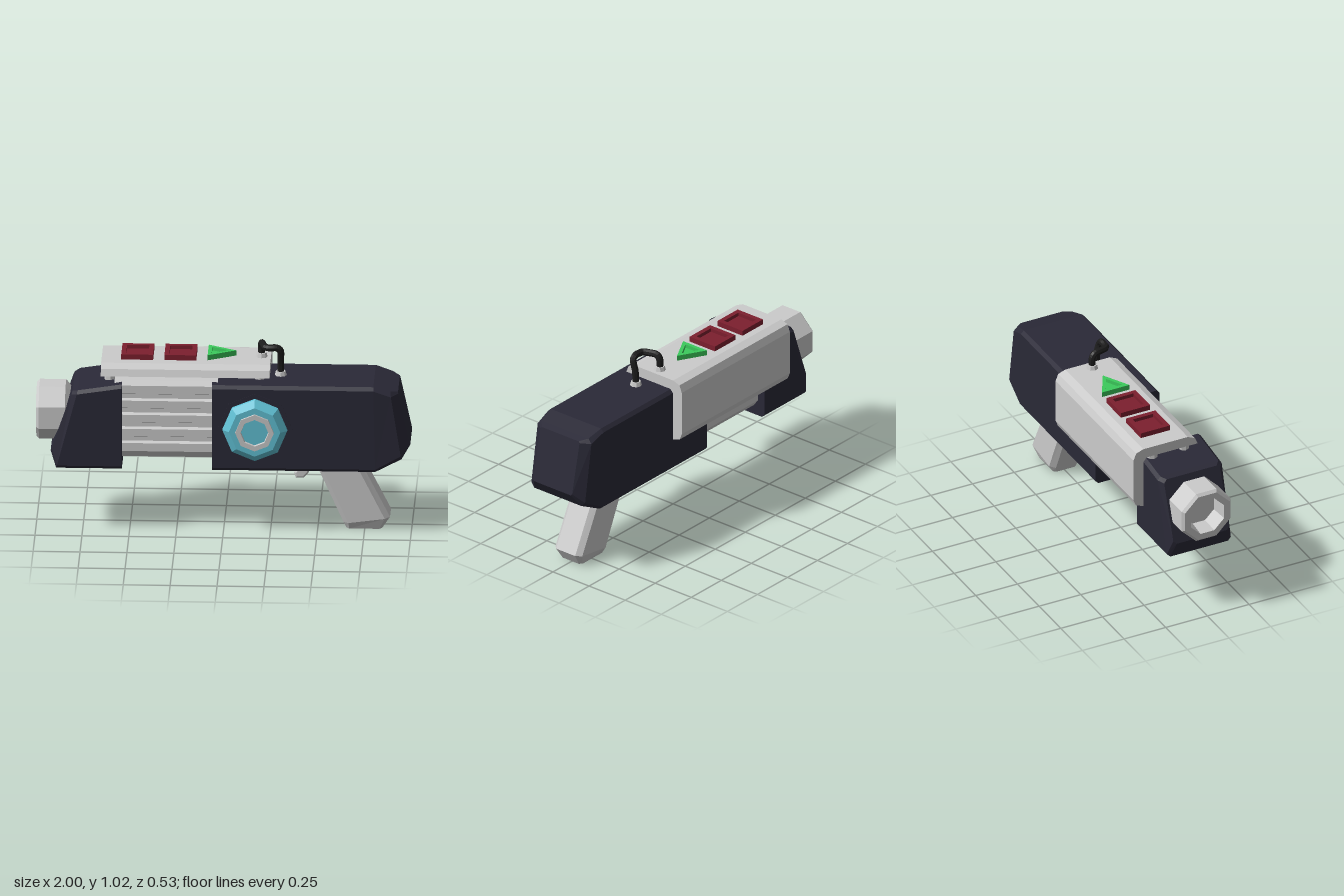
import * as THREE from 'three';

const mat = (color) => new THREE.MeshStandardMaterial({ color, flatShading: true });
const GREY = mat(0xcccccc), DARK = mat(0x2a2937), BLUE = mat(0x62c4d8);
const RED = mat(0x7d1f2e), GREEN = mat(0x3ccb5c), BLACK = mat(0x1c1c1c);
const CZ = 0.008; // z of the body's mid plane

// Closed solid through rings of equal point count, faces turned outwards
function loft(rings) {
  const tris = [], n = rings[0].length;
  const centre = (r) => r.reduce((s, p) => s.add(p), new THREE.Vector3()).divideScalar(n);
  const first = rings[0], last = rings[rings.length - 1];
  for (let j = 0; j < n; j++) {
    const k = (j + 1) % n;
    for (let i = 0; i < rings.length - 1; i++) {
      const a = rings[i], b = rings[i + 1];
      tris.push([a[j], a[k], b[k]], [a[j], b[k], b[j]]);
    }
    tris.push([centre(first), first[k], first[j]], [centre(last), last[j], last[k]]);
  }
  const volume = tris.reduce((s, [a, b, c]) => s + a.dot(b.clone().cross(c)), 0);
  if (volume < 0) tris.forEach((t) => t.reverse());
  const geo = new THREE.BufferGeometry().setFromPoints(tris.flat());
  geo.computeVertexNormals();
  return geo;
}

// Rectangle with cut corners, as [a, b] pairs
function cutRect(a0, a1, b0, b1, c) {
  return [[a0 + c, b0], [a1 - c, b0], [a1, b0 + c], [a1, b1 - c],
    [a1 - c, b1], [a0 + c, b1], [a0, b1 - c], [a0, b0 + c]];
}

// Slanted section of a body block: bottom (xb, yb), top (xt, yt), half width hw
function blockRing([xb, yb, xt, yt, hw, c]) {
  return cutRect(CZ - hw, CZ + hw, yb, yt, c).map(([z, y]) =>
    new THREE.Vector3(xb + (xt - xb) * (y - yb) / (yt - yb), y, z));
}

// Slanted section of the grip: front (x0, y0), back (x1, y1)
function gripRing([x0, y0, x1, y1, hw, c]) {
  return cutRect(x0, x1, CZ - hw, CZ + hw, c).map(([x, z]) =>
    new THREE.Vector3(x, y0 + (y1 - y0) * (x - x0) / (x1 - x0), z));
}

const shapeOf = (pts) => new THREE.Shape(pts.map(([x, y]) => new THREE.Vector2(x, y)));

// Extrude a [z, y] profile from x0 to x1
function extrudeX(profile, x0, x1) {
  return new THREE.ExtrudeGeometry(shapeOf(profile.map(([z, y]) => [-z, y])),
    { depth: x1 - x0, bevelEnabled: false }).rotateY(Math.PI / 2).translate(x0, 0, 0);
}

export function createModel() {
  const model = new THREE.Group();
  const add = (name, geo, material, parent = model) => {
    const mesh = new THREE.Mesh(geo, material);
    mesh.name = name;
    parent.add(mesh);
    return mesh;
  };

  // Dark housings at both ends
  add('rearHousing', loft([
    [-0.06, 0.36, -0.06, 0.84, 0.192, 0.018],
    [0.81, 0.36, 0.8, 0.84, 0.192, 0.018],
    [0.95, 0.43, 0.89, 0.812, 0.186, 0.024],
    [0.995, 0.5, 0.93, 0.8, 0.135, 0.008],
  ].map(blockRing)), DARK);
  add('frontHousing', loft([
    [-0.54, 0.36, -0.54, 0.837, 0.192, 0.018],
    [-0.89, 0.36, -0.775, 0.8, 0.192, 0.018],
    [-0.92, 0.45, -0.803, 0.79, 0.168, 0.018],
  ].map(blockRing)), DARK);

  // Ribbed core between the housings
  const side = [[0.115, 0.41], [0.147, 0.45]];
  for (let i = 0; i < 4; i++) {
    const y = 0.495 + i * 0.08;
    side.push([0.147, y], [0.128, y + 0.008], [0.128, y + 0.032], [0.147, y + 0.04]);
  }
  side.push([0.147, 0.82], [0.125, 0.845]);
  const core = [...side.map(([z, y]) => [CZ + z, y]),
    ...side.slice().reverse().map(([z, y]) => [CZ - z, y])];
  add('ribbedCore', extrudeX(core, -0.58, -0.03), GREY);

  // Eight-sided hollow barrel
  const R = 0.147 / Math.cos(Math.PI / 8);
  const barrel = new THREE.LatheGeometry([[0, 0.1], [0.098, 0.1], [0.108, 0.2],
    [R - 0.015, 0.2], [R, 0.185], [R, 0.045], [R - 0.035, 0.015], [R - 0.035, -0.06], [0, -0.06]]
    .map(([r, h]) => new THREE.Vector2(r, h)).reverse(), 8, Math.PI / 8);
  add('barrel', barrel.rotateZ(Math.PI / 2).translate(-0.8, 0.627, 0), GREY);

  // Cover plate folded over the top and the back
  add('coverPlate', extrudeX([
    [0.12, 0.858], [0.105, 0.895], [0.062, 0.915], [-0.205, 0.915], [-0.248, 0.9],
    [-0.264, 0.86], [-0.264, 0.61], [-0.25, 0.575], [-0.205, 0.558], [-0.205, 0.835],
    [-0.212, 0.85], [-0.185, 0.858],
  ].filter((_, i) => i !== 10), -0.655, 0.245), GREY);
  for (const x of [-0.605, 0.19]) for (const z of [-0.13, 0.06]) {
    add('platePeg', new THREE.CylinderGeometry(0.032, 0.032, 0.08, 8).translate(x, 0.825, z), GREY);
  }

  // Buttons: a raised rim around a sunken panel
  const button = (name, pts, inset, material) => {
    const group = new THREE.Group();
    group.name = name;
    const cx = pts.reduce((s, p) => s + p[0], 0) / pts.length;
    const cy = pts.reduce((s, p) => s + p[1], 0) / pts.length;
    const inner = pts.map(([x, y]) => [cx + (x - cx) * inset, cy + (y - cy) * inset]);
    const rim = shapeOf(pts);
    rim.holes.push(shapeOf(inner));
    const raise = (shape, h) => new THREE.ExtrudeGeometry(shape, { depth: h, bevelEnabled: false })
      .rotateX(-Math.PI / 2).translate(0, 0.91, 0);
    add('buttonRim', raise(rim, 0.034), material, group);
    add('buttonPanel', raise(shapeOf(inner), 0.014), material, group);
    model.add(group);
  };
  for (const x of [-0.55, -0.32]) {
    button('squareButton', [[x, -0.01], [x + 0.17, -0.01], [x + 0.17, 0.165], [x, 0.165]], 0.7, RED);
  }
  button('triangleButton', [[-0.09, -0.005], [0.06, 0.077], [-0.09, 0.16]], 0.6, GREEN);

  // Eight-sided dial on the front side
  const dial = new THREE.Group();
  dial.name = 'dial';
  dial.position.set(0.17, 0.6, 0.2);
  model.add(dial);
  const turned = (name, pts, material) => add(name, new THREE.LatheGeometry(
    pts.map(([r, h]) => new THREE.Vector2(r, h)), 8).rotateX(Math.PI / 2), material, dial);
  turned('dialBezel', [[0.2, -0.01], [0.2, 0.002], [0.165, 0.002]], DARK);
  turned('dialBody', [[0.173, -0.01], [0.173, 0.022], [0.137, 0.052], [0, 0.052]], BLUE);
  turned('dialRing', [[0.103, 0.045], [0.103, 0.065], [0.075, 0.065], [0.072, 0.05]], GREY);

  // Cable loop and its two sockets
  const path = new THREE.CatmullRomCurve3([
    [0.195, 0.91, -0.07], [0.195, 0.975, -0.07], [0.197, 0.998, -0.055], [0.21, 1.0, 0.0],
    [0.222, 1.0, 0.025], [0.245, 1.0, 0.031], [0.28, 1.0, 0.03], [0.298, 0.985, 0.028],
    [0.3, 0.92, 0.012], [0.3, 0.84, 0.008],
  ].map((p) => new THREE.Vector3(...p)), false, 'centripetal');
  add('cable', new THREE.TubeGeometry(path, 40, 0.019, 8), BLACK);
  for (const [x, y, z] of [[0.195, 0.915, -0.07], [0.3, 0.84, 0.008]]) {
    add('cableSocket', new THREE.CylinderGeometry(0.026, 0.034, 0.03, 8).translate(x, y + 0.008, z), GREY);
  }

  // Slanted grip
  add('grip', loft([
    [0.465, 0.42, 0.707, 0.42, 0.093, 0.027],
    [0.637, 0.035, 0.885, 0.068, 0.093, 0.027],
    [0.652, 0, 0.842, 0, 0.07, 0.015],
  ].map(gripRing)), GREY);

  // Trigger
  add('trigger', new THREE.ExtrudeGeometry(shapeOf([
    [0.395, 0.38], [0.4, 0.325], [0.383, 0.295], [0.388, 0.277], [0.42, 0.277],
    [0.44, 0.3], [0.45, 0.38],
  ]), { depth: 0.04, bevelThickness: 0.012, bevelSize: 0.01, bevelSegments: 1 })
    .translate(0, 0, CZ - 0.02), GREY);

  return model;
}
